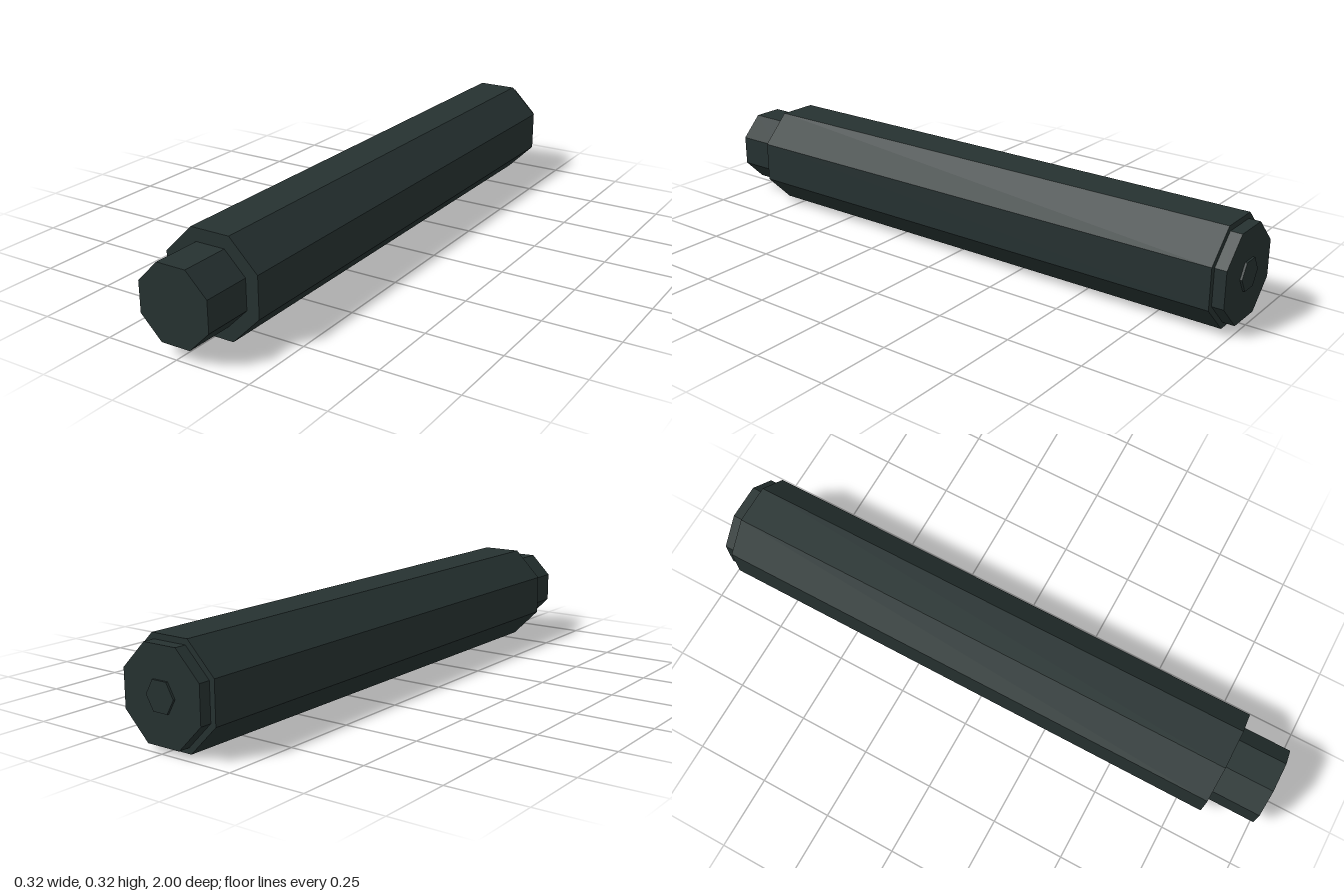
import * as THREE from 'three';

const AXIS_Y = 0.163;

export function createModel() {
  const model = new THREE.Group();
  model.name = 'handle';
  const darkMetal = new THREE.MeshStandardMaterial({ color: 0x263231, flatShading: true });
  darkMetal.name = 'dark green grey';

  // Prism lying along z; thetaStart puts flats on top (octagon) or corners at the sides (hexagon)
  function prism(name, sides, apothem, zBack, zFront) {
    const radius = apothem / Math.cos(Math.PI / sides);
    const geometry = new THREE.CylinderGeometry(
      radius, radius, zFront - zBack, sides, 1, false, Math.PI / sides);
    geometry.rotateX(Math.PI / 2);
    const mesh = new THREE.Mesh(geometry, darkMetal);
    mesh.name = name;
    mesh.position.set(0, AXIS_Y, (zBack + zFront) / 2);
    model.add(mesh);
  }

  prism('body', 8, 0.1625, -0.955, 0.835);     // long grip
  prism('neck', 8, 0.1205, 0.835, 1);          // narrow front end
  prism('endCap', 8, 0.1445, -0.993, -0.955);  // stepped rear cap
  prism('endButton', 6, 0.0455, -1, -0.993);   // small hexagon on the cap

  return model;
}
